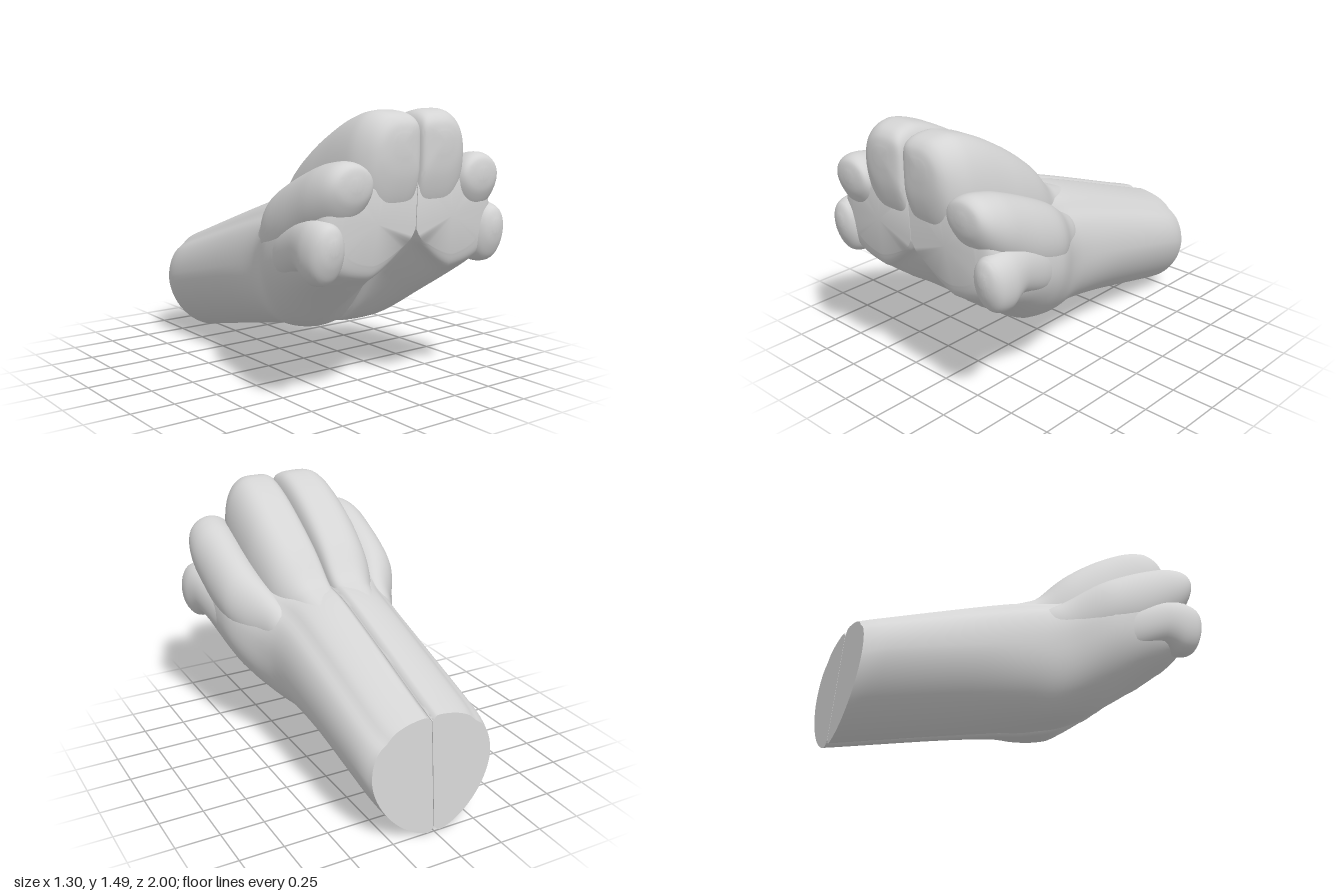
import * as THREE from 'three';
import { toCreasedNormals } from 'three/addons/utils/BufferGeometryUtils.js';

const skin = new THREE.MeshStandardMaterial({ color: 0xd4d4d4 });
skin.name = 'plain grey';

// Smoothly fill in extra stations between the given rows of numbers
function refine(rows, steps) {
  const out = [];
  for (let i = 0; i < rows.length - 1; i++) {
    const p0 = rows[Math.max(i - 1, 0)], p1 = rows[i], p2 = rows[i + 1];
    const p3 = rows[Math.min(i + 2, rows.length - 1)];
    for (let s = 0; s < steps; s++) {
      const t = s / steps, t2 = t * t, t3 = t2 * t;
      out.push(p1.map((v, k) => {
        const m1 = (p2[k] - p0[k]) / 2, m2 = (p3[k] - v) / 2;
        const d = p2[k] - v;
        // limited tangents avoid overshoot
        const lim = m => (m * d <= 0 ? 0 : Math.sign(m) * Math.min(Math.abs(m), 2 * Math.abs(d)));
        return v + lim(m1) * t + (3 * d - 2 * lim(m1) - lim(m2)) * t2 + (lim(m1) + lim(m2) - 2 * d) * t3;
      }));
    }
  }
  out.push(rows[rows.length - 1]);
  return out;
}

// Skin closed rings that run top -> outer side -> bottom, stacked towards +z
function loft(rings, side) {
  const n = rings[0].length, pos = [], idx = [];
  const tri = (a, b, c) => (side > 0 ? idx.push(a, b, c) : idx.push(a, c, b));
  rings.forEach(r => r.forEach(p => pos.push(p[0] * side, p[1], p[2])));
  for (let i = 0; i < rings.length - 1; i++) {
    for (let j = 0; j < n; j++) {
      const k = (j + 1) % n, a = i * n + j, b = i * n + k;
      tri(a, a + n, b);
      tri(b, a + n, b + n);
    }
  }
  [0, rings.length - 1].forEach((r, end) => {
    const mid = [0, 1, 2].map(k => rings[r].reduce((s, p) => s + p[k], 0) / n);
    const c = pos.length / 3;
    pos.push(mid[0] * side, mid[1], mid[2]);
    for (let j = 0; j < n; j++) {
      const a = r * n + j, b = r * n + (j + 1) % n;
      if (end) tri(c, b, a); else tri(c, a, b);
    }
  });
  const g = new THREE.BufferGeometry();
  g.setAttribute('position', new THREE.Float32BufferAttribute(pos, 3));
  g.setIndex(idx);
  return toCreasedNormals(g, 0.9);
}

const power = (v, e) => Math.sign(v) * Math.pow(Math.abs(v), 2 / e);

// Half section of the limb: rounded lobe with a seam at x = 0 and a hollow below
function limbRing([zT, yT, zB, yB, w, yM, eT, eB, hollow]) {
  const ring = [], n = 56;
  for (let j = 0; j <= n; j++) {
    const a = (Math.PI / 2) * Math.sin((Math.PI / 2) * (1 - (2 * j) / n));
    const up = a > 0, e = up ? eT : eB;
    const crease = 1 - 0.03 * Math.exp(-(((a - 0.75) / 0.13) ** 2));
    const x = w * power(Math.max(Math.cos(a), 0), e) * crease;
    let y = yM + (up ? yT - yM : yM - yB) * power(Math.sin(a), e) * crease;
    const seam = 0.03 * Math.exp(-((x / 0.02) ** 2));
    y += up ? -seam : seam + hollow * Math.max(0, 1 - x / 0.27) ** 1.3;
    ring.push([Math.max(x, 0.002), y, zB + ((zT - zB) * (y - yB)) / (yT - yB)]);
  }
  return ring;
}

// Toe section: a rounded oval hung from its top height, squarer on its inner side
function toeRing([z, x, top, rx, ry], outerE, innerE) {
  const ring = [], n = 44;
  for (let j = 0; j < n; j++) {
    const a = (j / n) * Math.PI * 2;
    const e = Math.sin(a) < 0 ? innerE : outerE;
    ring.push([x + rx * power(Math.sin(a), e), top - ry + ry * power(Math.cos(a), e), z]);
  }
  return ring;
}

// zTop, yTop, zBottom, yBottom, half width, widest height, top and bottom roundness, hollow
const limb = [
  [-0.94, 0.66, -1.0, 0.0, 0.36, 0.38, 2.3, 1.72, 0],
  [-0.82, 0.70, -0.87, 0.03, 0.385, 0.42, 2.3, 1.72, 0],
  [-0.3, 0.89, -0.35, 0.15, 0.392, 0.55, 2.3, 1.8, 0],
  [0, 0.99, 0, 0.225, 0.40, 0.63, 2.3, 2.1, 0],
  [0.18, 1.02, 0.18, 0.24, 0.44, 0.68, 2.3, 2.3, 0.03],
  [0.42, 1.06, 0.4, 0.28, 0.56, 0.76, 2.6, 1.95, 0.08],
  [0.68, 1.14, 0.65, 0.46, 0.585, 0.82, 3, 2.2, 0.22],
  [0.85, 1.2, 0.85, 0.63, 0.575, 0.86, 3.2, 3, 0.23],
  [0.93, 1.2, 0.915, 0.68, 0.54, 0.9, 3.2, 3, 0.19],
  [0.955, 1.14, 0.94, 0.74, 0.46, 0.92, 3, 3, 0.14],
];

// z, x, top height, half width, half height
const toes = {
  innerToe: { e: [2.2, 5], rows: [
    [-0.06, 0.12, 0.955, 0.11, 0.12], [0.06, 0.13, 1.0, 0.128, 0.16], [0.15, 0.14, 1.05, 0.139, 0.2],
    [0.3, 0.168, 1.2, 0.167, 0.27], [0.5, 0.183, 1.345, 0.182, 0.33], [0.7, 0.184, 1.455, 0.183, 0.34],
    [0.85, 0.179, 1.5, 0.178, 0.31], [0.94, 0.16, 1.485, 0.157, 0.23], [0.985, 0.142, 1.445, 0.122, 0.14],
    [1, 0.14, 1.39, 0.05, 0.05]] },
  outerToe: { e: [2, 2], rows: [
    [0.02, 0.29, 0.82, 0.04, 0.06], [0.12, 0.315, 0.89, 0.08, 0.11], [0.22, 0.345, 0.95, 0.1, 0.15],
    [0.4, 0.42, 1.07, 0.14, 0.19], [0.6, 0.44, 1.17, 0.15, 0.21], [0.8, 0.44, 1.25, 0.155, 0.19],
    [0.92, 0.43, 1.27, 0.145, 0.15], [0.98, 0.42, 1.245, 0.11, 0.09], [0.995, 0.42, 1.19, 0.03, 0.03]] },
  sideToe: { e: [2.1, 2.1], rows: [
    [0.12, 0.33, 0.78, 0.04, 0.07], [0.35, 0.42, 0.87, 0.085, 0.13], [0.55, 0.475, 0.94, 0.11, 0.15],
    [0.73, 0.512, 0.99, 0.11, 0.14], [0.84, 0.535, 1.0, 0.112, 0.165], [0.92, 0.54, 0.99, 0.1, 0.15],
    [0.965, 0.54, 0.965, 0.07, 0.1], [0.985, 0.54, 0.91, 0.025, 0.035]] },
};

export function createModel() {
  const model = new THREE.Group();
  model.name = 'paw';
  for (const side of [1, -1]) {
    const half = new THREE.Group();
    half.name = side > 0 ? 'leftHalf' : 'rightHalf';
    const add = (name, rings) => {
      const mesh = new THREE.Mesh(loft(rings, side), skin);
      mesh.name = name;
      half.add(mesh);
    };
    add('limb', refine(limb, 6).map(limbRing));
    for (const [name, { e, rows }] of Object.entries(toes)) {
      add(name, refine(rows, 5).map(r => toeRing(r, ...e)));
    }
    model.add(half);
  }
  return model;
}
